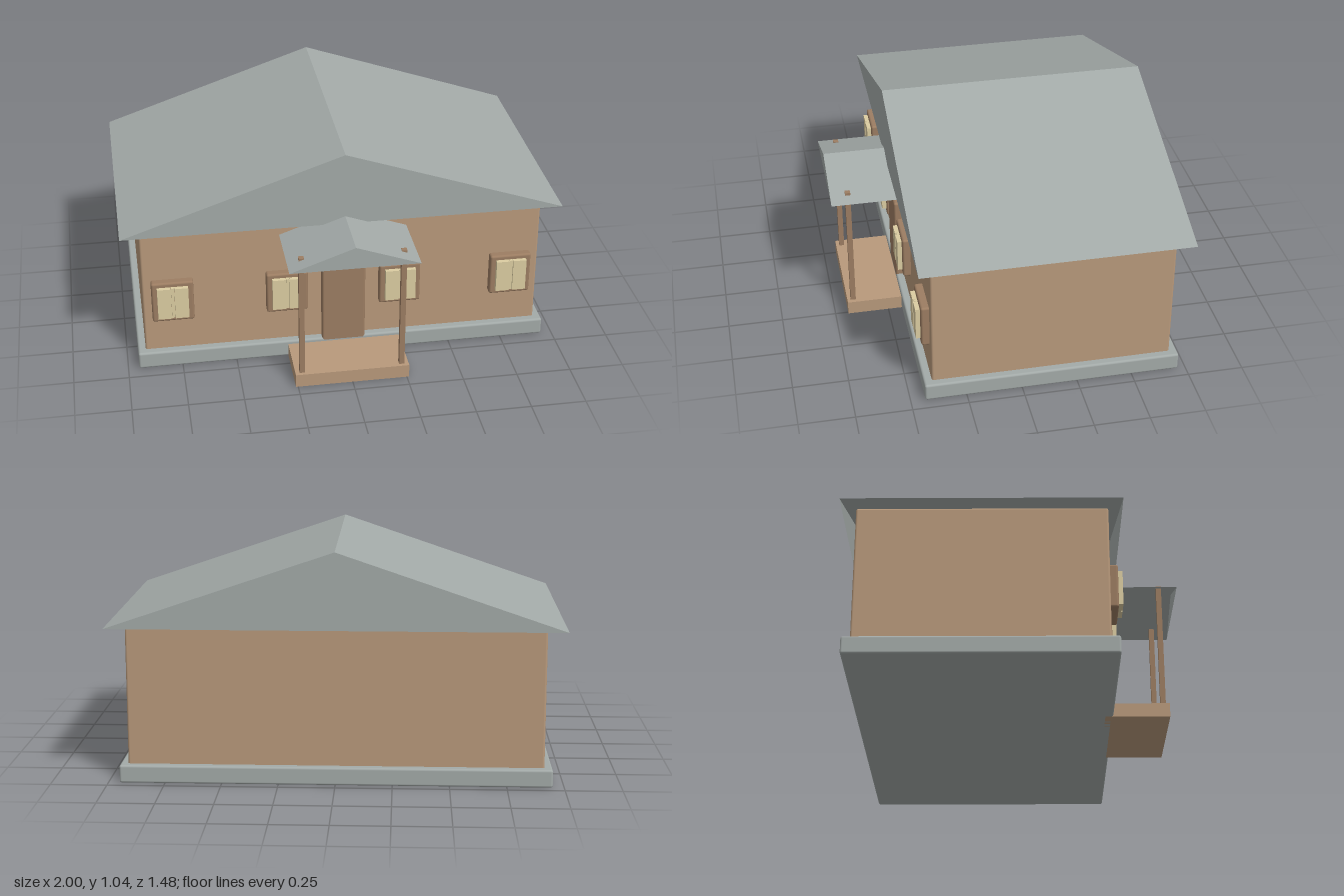
import * as THREE from 'three';
import { RoundedBoxGeometry } from 'three/addons/geometries/RoundedBoxGeometry.js';

const paint = (color, extra = {}) => new THREE.MeshStandardMaterial({ color, ...extra });
const wallPaint = paint(0xb8997b);
const woodPaint = paint(0x9c7d62);
const stonePaint = paint(0xa3aaa8);
const roofPaint = paint(0xa3aaa8, { side: THREE.DoubleSide, flatShading: true });
const glassPaint = paint(0xdccda2);

// Box given by its limits on each axis; a radius rounds the edges
function block(name, [x0, x1], [y0, y1], [z0, z1], material, radius = 0) {
  const size = [x1 - x0, y1 - y0, z1 - z0];
  const geometry = radius
    ? new RoundedBoxGeometry(...size, 3, radius)
    : new THREE.BoxGeometry(...size);
  const mesh = new THREE.Mesh(geometry, material);
  mesh.name = name;
  mesh.position.set((x0 + x1) / 2, (y0 + y1) / 2, (z0 + z1) / 2);
  return mesh;
}

// Gabled roof shell: two slopes and two gables, open underneath
function gableRoof(name, halfWidth, eave, ridge, back, front) {
  const geometry = new THREE.BufferGeometry();
  const corners = [];
  for (const z of [front, back]) corners.push(-halfWidth, eave, z, halfWidth, eave, z, 0, ridge, z);
  geometry.setAttribute('position', new THREE.Float32BufferAttribute(corners, 3));
  geometry.setIndex([
    0, 1, 2, 4, 3, 5, // gables
    1, 4, 5, 1, 5, 2, // left slope
    3, 0, 2, 3, 2, 5, // right slope
  ]);
  const flat = geometry.toNonIndexed();
  flat.computeVertexNormals();
  const mesh = new THREE.Mesh(flat, roofPaint);
  mesh.name = name;
  return mesh;
}

// Framed window with two projecting panes and a centre bar
function houseWindow(x) {
  const group = new THREE.Group();
  group.name = 'window';
  group.add(block('windowFrame', [-0.095, 0.095], [0.245, 0.445], [0.39, 0.436], woodPaint, 0.01));
  group.add(block('windowBar', [-0.007, 0.007], [0.27, 0.424], [0.42, 0.45], glassPaint));
  for (const side of [-1, 1]) {
    const pane = block('windowPane', [-0.031, 0.031], [0.27, 0.424], [0.42, 0.456], glassPaint);
    pane.position.x = side * 0.039;
    group.add(pane);
  }
  group.position.x = x;
  return group;
}

export function createModel() {
  const house = new THREE.Group();
  house.name = 'house';

  // Main body
  house.add(block('foundation', [-0.95, 0.95], [0, 0.08], [-0.715, 0.436], stonePaint, 0.01));
  house.add(block('walls', [-0.915, 0.915], [0.07, 0.697], [-0.68, 0.4], wallPaint, 0.01));
  house.add(gableRoof('mainRoof', 1, 0.697, 1.037, -0.742, 0.46));

  // Front openings
  house.add(block('door', [-0.1, 0.1], [0.055, 0.483], [0.39, 0.436], woodPaint, 0.01));
  for (const x of [-0.78, -0.26, 0.26, 0.78]) house.add(houseWindow(x));

  // Porch
  house.add(block('porchStep', [-0.26, 0.26], [0, 0.063], [0.4, 0.69], wallPaint));
  for (const x of [-0.228, 0.228]) {
    house.add(block('porchPost', [x - 0.012, x + 0.012], [0.06, 0.66], [0.65, 0.674], woodPaint));
  }
  house.add(gableRoof('porchRoof', 0.29, 0.63, 0.733, 0.4, 0.742));

  return house;
}
